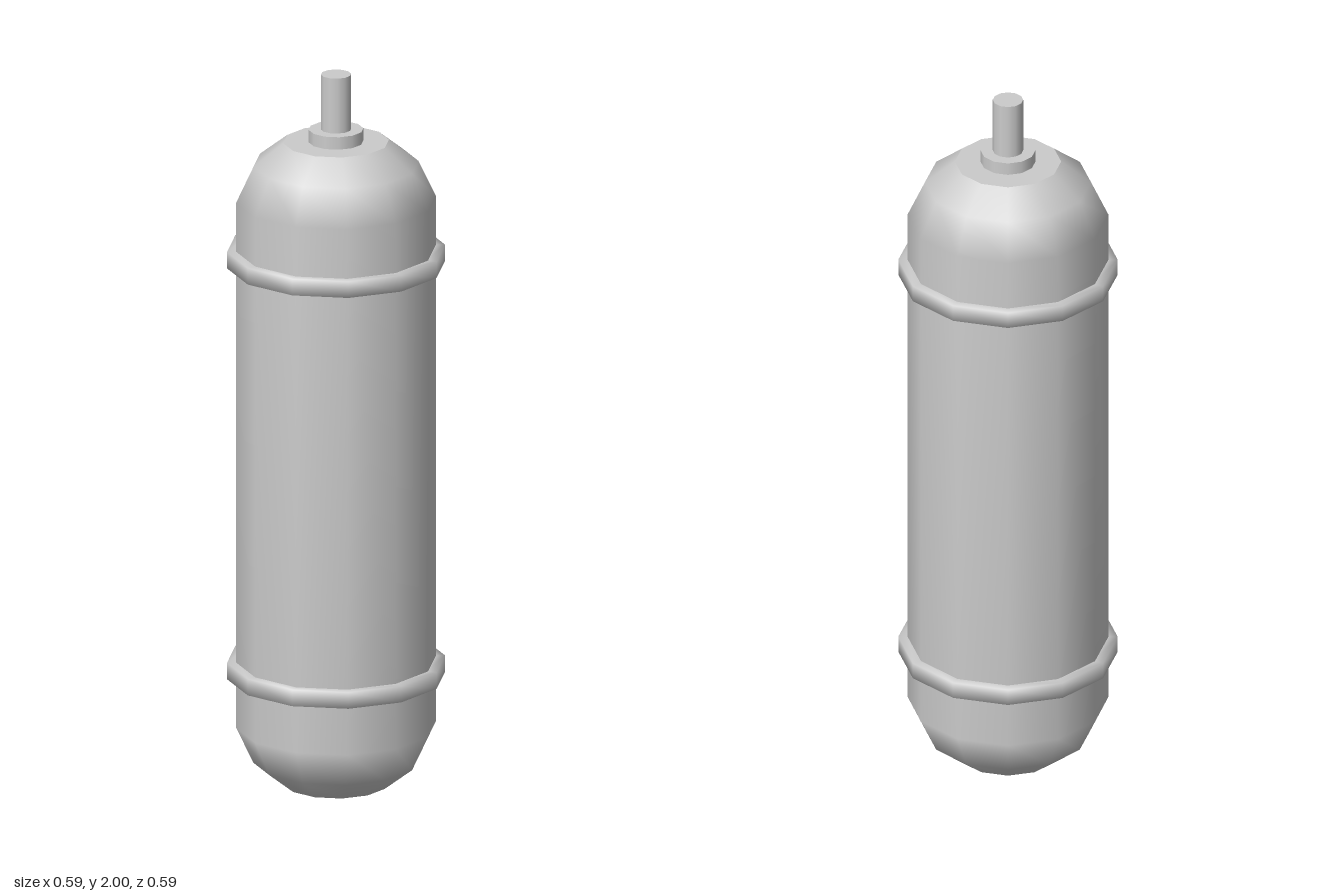
import * as THREE from 'three';

const SIDES = 12;
const BODY_TOP = 1.81;

export function createModel() {
  const group = new THREE.Group();
  const material = new THREE.MeshStandardMaterial({ color: 0xcccccc });

  const add = (name, geometry, y = 0) => {
    const mesh = new THREE.Mesh(geometry, material);
    mesh.name = name;
    mesh.position.y = y;
    group.add(mesh);
    return mesh;
  };
  const lathe = (points) =>
    new THREE.LatheGeometry(points.map(([r, y]) => new THREE.Vector2(r, y)), SIDES);

  // Tank with rounded shoulders, mirrored top and bottom
  const lower = [[0.143, 0], [0.223, 0.063], [0.27, 0.163]];
  const upper = lower.map(([r, y]) => [r, BODY_TOP - y]).reverse();
  add('tankBody', lathe([...lower, ...upper]));

  // Flat ends of the tank, kept sharp at the rim
  add('tankTop', new THREE.CircleGeometry(0.143, SIDES), BODY_TOP).rotation.x = -Math.PI / 2;
  add('tankBottom', new THREE.CircleGeometry(0.143, SIDES)).rotation.x = Math.PI / 2;

  // Two raised bands around the tank
  const band = [[0.265, -0.023], [0.295, -0.023], [0.295, 0.023], [0.265, 0.023]];
  add('lowerBand', lathe(band), 0.325);
  add('upperBand', lathe(band), BODY_TOP - 0.325);

  // Collar and valve stem
  add('collar', new THREE.CylinderGeometry(0.074, 0.074, 0.035, SIDES), BODY_TOP + 0.0175);
  add('valveStem', new THREE.CylinderGeometry(0.041, 0.041, 0.19, SIDES), 1.905);

  return group;
}
